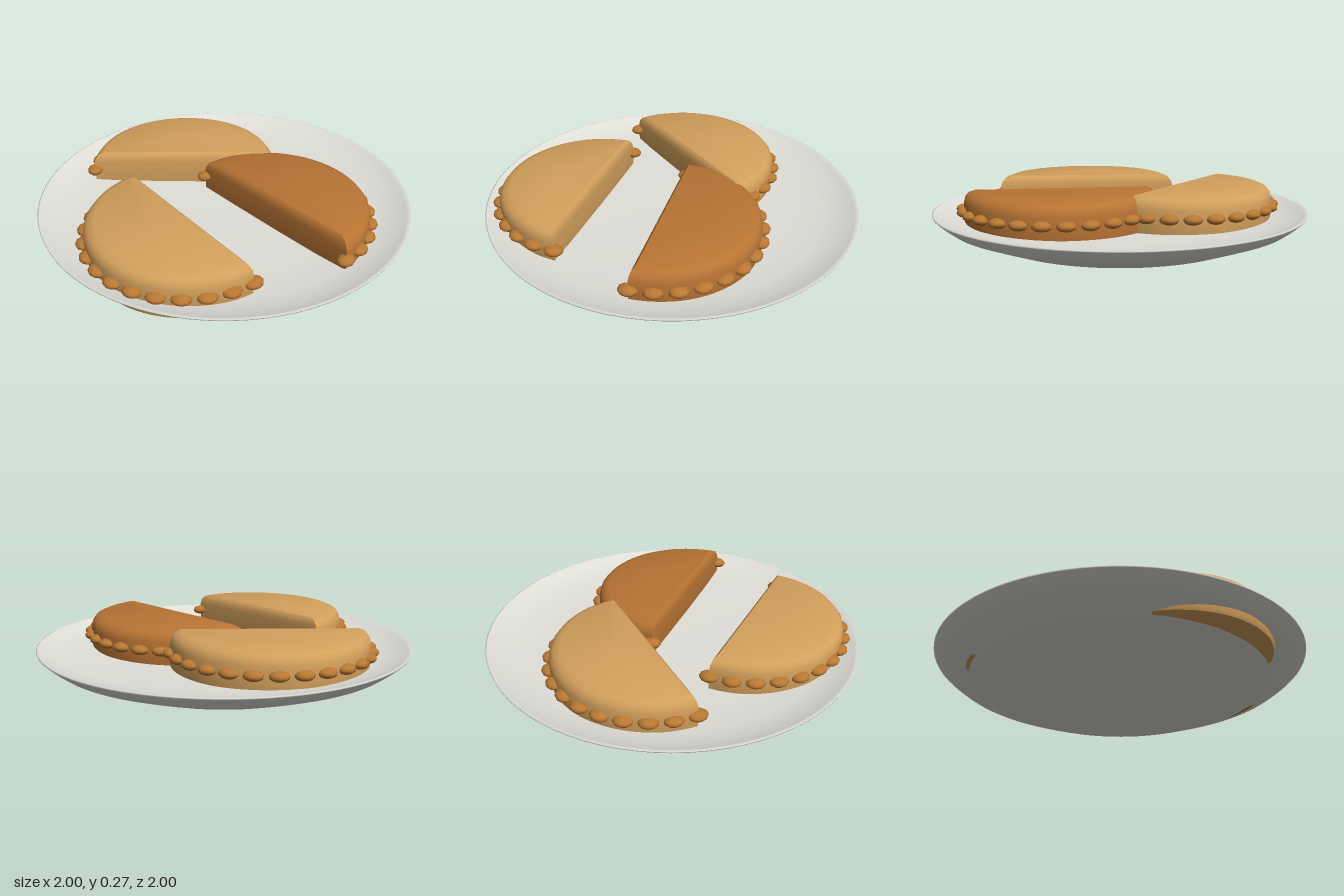
import * as THREE from 'three';
import { toCreasedNormals } from 'three/addons/utils/BufferGeometryUtils.js';

const material = (name, color) => new THREE.MeshStandardMaterial({ name, color });

// Half-disc crust from stacked closed loops: each level is [inset, y]
function halfDisc(R, levels, n = 40) {
  const pos = [], idx = [], m = n + 1;
  for (const [inset, y] of levels) {
    const r = R - inset, e = inset * 0.4;
    for (let i = 0; i <= n; i++) {
      const t = (i / n) * Math.PI;
      pos.push(r * Math.cos(t), y, e + (r - e) * Math.sin(t));
    }
  }
  const last = (levels.length - 1) * m;
  const bottom = pos.length / 3, top = bottom + 1;
  pos.push(0, levels[0][1], R * 0.4, 0, levels[levels.length - 1][1], R * 0.4);
  for (let i = 0; i < m; i++) {
    const j = (i + 1) % m;
    for (let k = 0; k < last; k += m) {
      const a = k + i, b = k + j;
      idx.push(a, a + m, b, b, a + m, b + m);
    }
    idx.push(bottom, i, j, top, last + j, last + i);
  }
  const geo = new THREE.BufferGeometry();
  geo.setAttribute('position', new THREE.Float32BufferAttribute(pos, 3));
  geo.setIndex(idx);
  return toCreasedNormals(geo, 0.7);
}

export function createModel() {
  const model = new THREE.Group();
  model.name = 'pastryPlate';
  const ceramic = material('ceramic', 0xe0dfd8);
  const golden = material('goldenCrust', 0xd3a05c);
  const brown = material('brownCrust', 0xb87434);
  const crimp = material('crimpedEdge', 0xb97833);

  // Shallow plate: underside, rim, then inner surface
  const profile = [
    [0, 0], [0.4, 0], [0.7, 0], [0.81, 0.042], [0.92, 0.086], [0.965, 0.12], [0.998, 0.15],
    [1, 0.157], [0.993, 0.16], [0.98, 0.154], [0.92, 0.13], [0.82, 0.108], [0.65, 0.097],
    [0.35, 0.091], [0, 0.089],
  ].map(([x, y]) => new THREE.Vector2(x, y));
  const plate = new THREE.Mesh(new THREE.LatheGeometry(profile, 80), ceramic);
  plate.name = 'plate';
  model.add(plate);

  // Half-round pastries with a ring of crimped beads
  const R = 0.515;
  const crust = halfDisc(R, [
    [0.025, 0.04], [0.007, 0.047], [0, 0.065], [0, 0.21],
    [0.008, 0.236], [0.026, 0.257], [0.06, 0.27],
  ]);
  const bead = new THREE.SphereGeometry(1, 10, 8);
  bead.scale(0.042, 0.026, 0.05);

  function addPastry(name, x, z, turn, mat, lift = 0) {
    const pastry = new THREE.Group();
    pastry.name = name;
    const body = new THREE.Mesh(crust, mat);
    body.name = 'crust';
    pastry.add(body);
    for (let i = 0; i < 15; i++) {
      const t = (i / 14) * Math.PI;
      const b = new THREE.Mesh(bead, crimp);
      b.name = 'crimpBead';
      b.position.set(R * Math.cos(t), 0.167, R * Math.sin(t));
      b.rotation.y = -t;
      pastry.add(b);
    }
    pastry.position.set(x, lift, z);
    pastry.rotation.y = turn;
    model.add(pastry);
  }
  addPastry('frontPastry', -0.07, 0.4, -0.607, golden);
  addPastry('leftPastry', 0.29, 0.14, 2.59, brown, -0.001);
  addPastry('backPastry', -0.285, -0.15, Math.PI + 0.294, golden, 0.002);

  return model;
}
